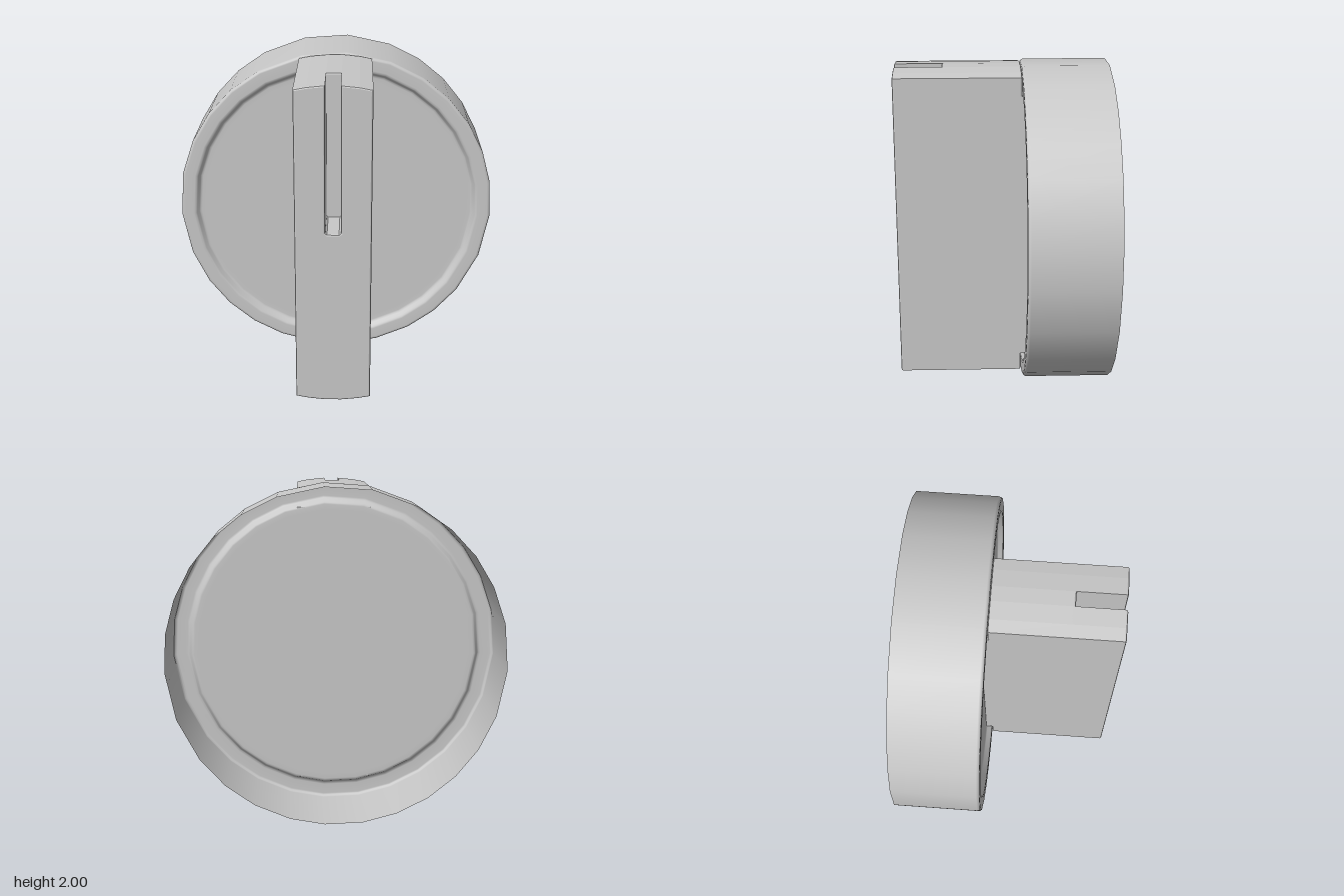
import * as THREE from 'three';

const HALF = 0.225;   // half width of the grip
const R = 0.99;       // grip end radius
const SLOT = 0.045;   // half width of the pointer slot

// Unevenly spaced corner angles (degrees) of the round cap
const ANGLES = [-4, 9, 21, 33, 45, 57, 70, 86, 102, 118.5, 131, 143, 155, 168,
  184, 200, 213, 225, 237, 249, 261, 274, 286, 299, 311, 323.5, 339.5, 356];

// Turned shell around z, from [radius, z] pairs
function turned(profile) {
  const segments = ANGLES.length - 1;
  const geo = new THREE.LatheGeometry(profile.map(([r, z]) => new THREE.Vector2(r, z)), segments);
  const pos = geo.attributes.position, nor = geo.attributes.normal;
  for (let i = 0; i < pos.count; i++) {
    const s = Math.floor(i / profile.length);
    const phi = (s / segments) * Math.PI * 2;
    const a = THREE.MathUtils.degToRad(ANGLES[s]);
    const r = profile[i % profile.length][0];
    const nr = nor.getX(i) * Math.sin(phi) + nor.getZ(i) * Math.cos(phi);
    const nz = nor.getY(i);
    pos.setXYZ(i, r * Math.cos(a), r * Math.sin(a), profile[i % profile.length][1]);
    nor.setXYZ(i, nr * Math.cos(a), nr * Math.sin(a), nz);
  }
  return geo;
}

// Bar outline with arched ends, optionally notched from the top
function barShape(notched) {
  const arc = (x) => Math.sqrt(R * R - x * x);
  const top = [HALF, 0.15, SLOT];
  const pts = [];
  for (const x of [-HALF, -0.15, -0.05, 0.05, 0.15, HALF]) pts.push([x, -arc(x)]);
  for (const x of top) pts.push([x, arc(x)]);
  if (notched) {
    pts.push([SLOT, 0.11], [SLOT - 0.01, 0.1], [-SLOT + 0.01, 0.1], [-SLOT, 0.11]);
  }
  for (const x of top.slice().reverse()) pts.push([-x, arc(x)]);
  return new THREE.Shape(pts.map(([x, y]) => new THREE.Vector2(x, y)));
}

// Extrusion between two depths with softly rounded edges inside the outline
function bar(shape, z0, z1) {
  const b = 0.01;
  const geo = new THREE.ExtrudeGeometry(shape, {
    depth: z1 - z0 - 2 * b, bevelEnabled: true, bevelThickness: b,
    bevelSize: b, bevelOffset: -b, bevelSegments: 2,
  });
  return geo.translate(0, 0, z0 + b);
}

export function createModel() {
  const model = new THREE.Group();
  model.name = 'rotaryKnob';
  const grey = new THREE.MeshStandardMaterial({ color: 0xc8c8c8, side: THREE.DoubleSide });
  grey.name = 'grey';

  const add = (name, geo, parent) => {
    const mesh = new THREE.Mesh(geo, grey);
    mesh.name = name;
    parent.add(mesh);
  };

  // Cap: thin shell open at the back, raised rim and sunken face
  const cap = new THREE.Group();
  cap.name = 'cap';
  cap.position.y = 1;
  add('capShell', turned([
    [1, -0.65], [1, -0.14], [0.997, -0.13], [0.99, -0.122], [0.98, -0.12],
    [0.92, -0.12], [0.908, -0.122], [0.9, -0.13], [0.888, -0.152],
    [0.88, -0.158], [0.87, -0.16], [0.84, -0.16], [0, -0.16],
  ]), cap);
  model.add(cap);

  // Grip: solid rear block, slotted front block, foot down to the sunken face
  const grip = new THREE.Group();
  grip.name = 'grip';
  grip.position.y = 1;
  add('gripRear', bar(barShape(false), -0.118, 0.36), grip);
  add('gripFront', bar(barShape(true), 0.335, 0.65), grip);
  const foot = new THREE.BoxGeometry(HALF * 2, 1.7, 0.06);
  foot.translate(0, 0, -0.129);
  add('gripFoot', foot, grip);
  model.add(grip);

  return model;
}
